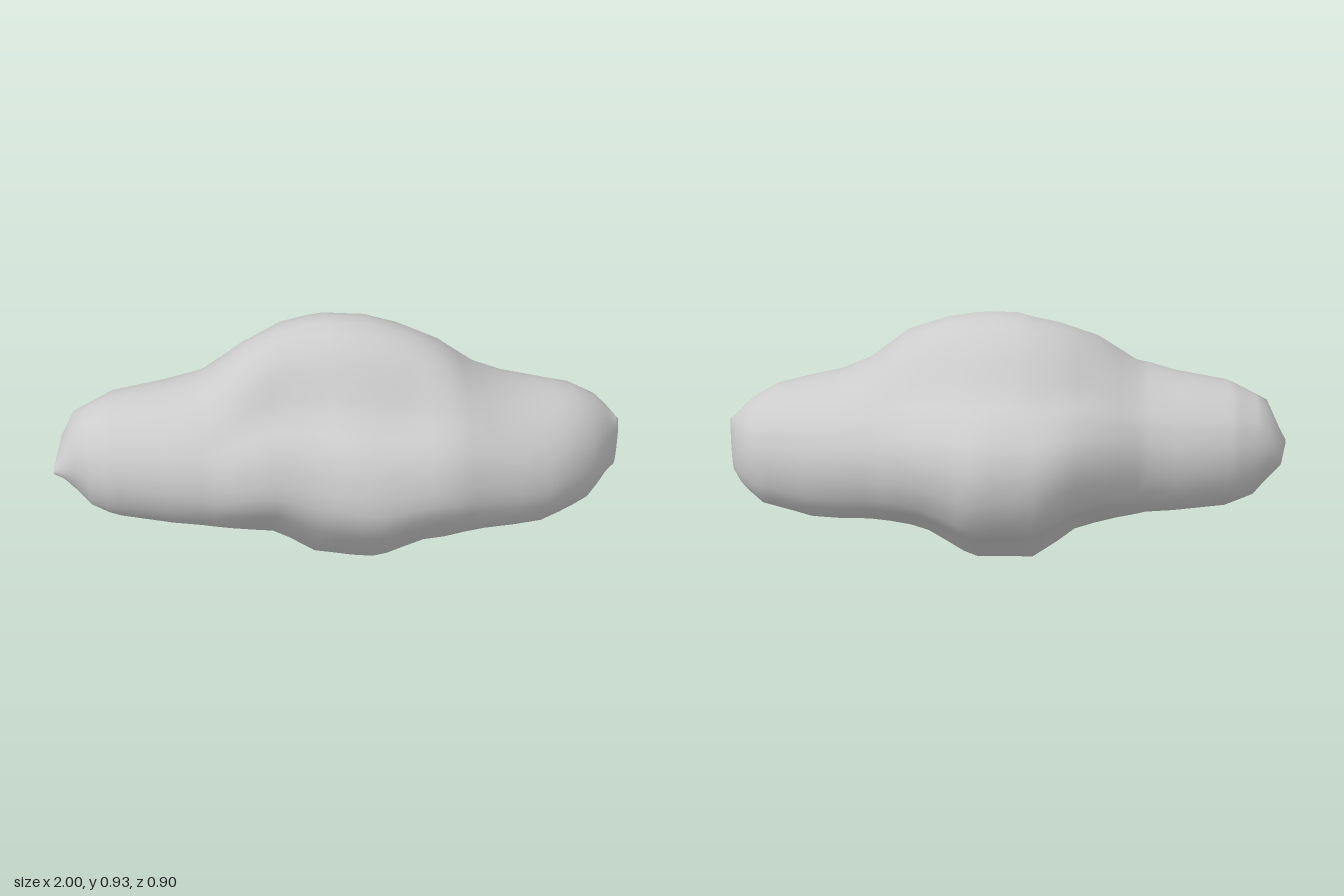
import * as THREE from 'three';

// Outline curves along x, as [x, value] pairs
const TOP = [[-1, .45], [-.92, .62], [-.78, .685], [-.6, .71], [-.46, .75], [-.32, .85], [-.19, .905], [-.04, .937],
  [.09, .932], [.21, .905], [.35, .845], [.49, .73], [.6, .68], [.83, .63], [.92, .58], [1, .5]];
const BOTTOM = [[-1, .43], [-.88, .275], [-.78, .235], [-.5, .2], [-.25, .13], [-.1, .02], [.12, .004], [.28, .09],
  [.48, .14], [.7, .145], [.88, .19], [.99, .29], [1, .3]];
const BACK = [[-1, .075], [-.97, -.09], [-.8, -.19], [-.5, -.25], [-.32, -.36], [-.15, -.45], [.1, -.45], [.28, -.37],
  [.5, -.25], [.7, -.2], [.86, -.14], [.95, -.08], [1, .05]];
const FRONT = [[-1, .085], [-.82, .22], [-.6, .29], [-.35, .355], [-.15, .37], [.07, .44], [.35, .435], [.5, .39],
  [.72, .34], [.86, .26], [.93, .19], [1, .09]];

// Middle cross-section as [z, y], running from the crown over the front
const MIDDLE = [[.03, .937], [.13, .89], [.2, .8], [.27, .7], [.38, .62], [.44, .48], [.44, .36], [.36, .23], [.28, .13],
  [.19, .045], [.05, .004], [-.05, .025], [-.15, .1], [-.25, .18], [-.4, .29], [-.45, .52], [-.34, .67], [-.26, .72],
  [-.17, .83], [-.08, .91]];

function sample(curve, x) {
  let i = 1;
  while (i < curve.length - 1 && curve[i][0] < x) i++;
  const [x0, a] = curve[i - 1], [x1, b] = curve[i];
  return THREE.MathUtils.lerp(a, b, THREE.MathUtils.clamp((x - x0) / (x1 - x0), 0, 1));
}

function createBody() {
  const xs = [-1, -.97, -.92, -.88, -.82, -.78, -.6, -.5, -.46, -.4, -.32, -.25, -.19, -.1, -.04, .03, .1, .15, .21,
    .28, .35, .42, .49, .6, .7, .77, .83, .88, .92, .96, .99, 1];
  const ringSize = 40;
  const loop = new THREE.CatmullRomCurve3(
    MIDDLE.map(([z, y]) => new THREE.Vector3(z / .445, (y - .47) / .467, 0)), true);
  const middle = Array.from({ length: ringSize }, (_, j) => loop.getPoint(j / ringSize));
  const positions = [], index = [];

  // Lumpy diamond section in the middle, blending into round end lobes
  for (const x of xs) {
    const top = sample(TOP, x), bottom = sample(BOTTOM, x), back = sample(BACK, x), front = sample(FRONT, x);
    const round = THREE.MathUtils.smoothstep(Math.abs(x), .22, .58);
    for (const p of middle) {
      const len = Math.hypot(p.x, p.y);
      const u = THREE.MathUtils.lerp(p.x, p.x / len, round);
      const v = THREE.MathUtils.lerp(p.y, p.y / len, round);
      positions.push(x, (top + bottom) / 2 + v * (top - bottom) / 2, (front + back) / 2 + u * (front - back) / 2);
    }
  }
  for (let i = 0; i < xs.length - 1; i++) {
    for (let j = 0; j < ringSize; j++) {
      const k = (j + 1) % ringSize;
      const a = i * ringSize + j, b = i * ringSize + k, c = a + ringSize, d = b + ringSize;
      index.push(a, b, c, b, d, c);
    }
  }

  // Close both ends
  const last = (xs.length - 1) * ringSize, left = positions.length / 3;
  positions.push(-1, .44, .08, 1, .4, .07);
  for (let j = 0; j < ringSize; j++) {
    const k = (j + 1) % ringSize;
    index.push(left, k, j, left + 1, last + j, last + k);
  }

  const geometry = new THREE.BufferGeometry();
  geometry.setAttribute('position', new THREE.Float32BufferAttribute(positions, 3));
  geometry.setIndex(index);
  geometry.computeVertexNormals();
  return geometry;
}

export function createModel() {
  const group = new THREE.Group();
  group.name = 'lumpyRock';
  const body = new THREE.Mesh(createBody(), new THREE.MeshStandardMaterial({ color: 0xcccccc }));
  body.name = 'rockBody';
  group.add(body);
  return group;
}
